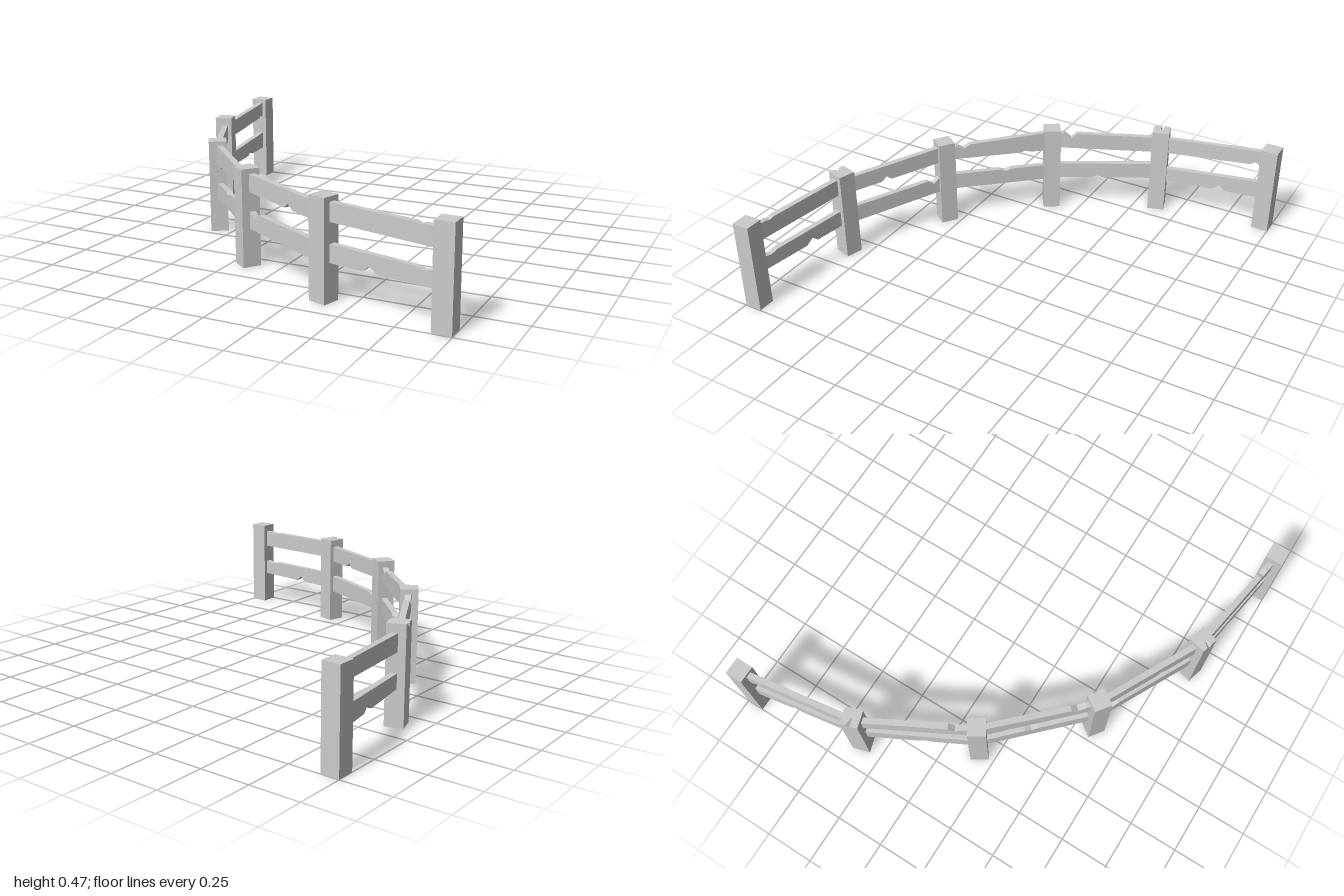
import * as THREE from 'three';

const POST_WIDTH = 0.09, POST_HEIGHT = 0.475, RAIL_THICKNESS = 0.03;
const material = new THREE.MeshStandardMaterial({ color: 0xcccccc, flatShading: true });

// x, z, turn about y in degrees, optional turn of the split in the top
const POSTS = [
  [-0.955, -0.955, 0],
  [-0.863, -0.366, 17, -90],
  [-0.59, 0.16, 33],
  [-0.17, 0.585, -36],
  [0.36, 0.855, -16, 0],
  [0.953, 0.953, 0],
];

// per span: edge heights at both ends, then chips as [position along rail, depth, half length]
const SPANS = [
  { upper: { top: [0.457, 0.432], bottom: [0.376, 0.346], bottomChips: [[0.13, 0.015, 0.04]] },
    lower: { top: [0.272, 0.25], bottom: [0.177, 0.18], bottomChips: [[0.43, 0.028, 0.06]] } },
  { upper: { top: [0.432, 0.452], bottom: [0.346, 0.364], topChips: [[0.83, 0.03, 0.06]] },
    lower: { top: [0.272, 0.26], bottom: [0.183, 0.175], bottomChips: [[0.57, 0.014, 0.06]] } },
  { upper: { top: [0.456, 0.44], bottom: [0.348, 0.368], topChips: [[0.83, 0.02, 0.06]], bottomChips: [[0.26, 0.01, 0.05]] },
    lower: { top: [0.254, 0.275], bottom: [0.168, 0.187], topChips: [[0.45, 0.012, 0.06]] } },
  { upper: { top: [0.452, 0.435], bottom: [0.365, 0.35], bottomChips: [[0.6, 0.022, 0.05]] },
    lower: { top: [0.272, 0.26], bottom: [0.188, 0.17], topChips: [[0.14, 0.025, 0.06]] } },
  { upper: { top: [0.453, 0.436], bottom: [0.365, 0.346], topChips: [[0.8, 0.008, 0.04]] },
    lower: { top: [0.268, 0.25], bottom: [0.182, 0.174], topChips: [[0.84, 0.01, 0.07]], bottomChips: [[0.41, 0.027, 0.06]] } },
];

function addMesh(parent, geometry, name) {
  const mesh = new THREE.Mesh(geometry, material);
  mesh.name = name;
  parent.add(mesh);
  return mesh;
}

// front half of a post with a wedge-shaped split that fades towards the middle
function splitHalfGeometry() {
  const w = POST_WIDTH / 2, h = POST_HEIGHT;
  const shape = new THREE.Shape([
    [-w, 0], [w, 0], [w, h], [0.01, h], [-0.003, h - 0.025], [-0.018, h], [-w, h],
  ].map(([x, y]) => new THREE.Vector2(x, y)));
  const geometry = new THREE.ExtrudeGeometry(shape, { depth: w, bevelEnabled: false });
  const p = geometry.attributes.position;
  for (let i = 0; i < p.count; i++) {
    if (p.getZ(i) < 0.001 && p.getY(i) > 0.1 && Math.abs(p.getX(i)) < 0.03) p.setXYZ(i, 0.005, h, 0);
  }
  geometry.computeVertexNormals();
  return geometry;
}

function makePost([x, z, turn, split]) {
  const post = new THREE.Group();
  post.name = 'post';
  post.position.set(x, 0, z);
  post.rotation.y = THREE.MathUtils.degToRad(turn);
  if (split === undefined) {
    const box = new THREE.BoxGeometry(POST_WIDTH, POST_HEIGHT, POST_WIDTH);
    addMesh(post, box.translate(0, POST_HEIGHT / 2, 0), 'postBody');
  } else {
    const body = new THREE.Group();
    body.name = 'splitPostBody';
    body.rotation.y = THREE.MathUtils.degToRad(split);
    const back = new THREE.BoxGeometry(POST_WIDTH, POST_HEIGHT, POST_WIDTH / 2);
    addMesh(body, back.translate(0, POST_HEIGHT / 2, -POST_WIDTH / 4), 'postBack');
    addMesh(body, splitHalfGeometry(), 'postFront');
    post.add(body);
  }
  return post;
}

// one long edge of a rail, with a three-point bite for each chip
function chippedEdge(length, [start, end], chips, sign) {
  const point = (t, offset) => new THREE.Vector2(t * length, THREE.MathUtils.lerp(start, end, t) + offset);
  const points = [point(0, 0)];
  for (const [t, depth, half] of chips) {
    points.push(point(t - half, 0), point(t - half * 0.1, sign * depth),
      point(t + half * 0.25, sign * depth * 0.7), point(t + half, 0));
  }
  points.push(point(1, 0));
  return points;
}

function railGeometry(length, { top, bottom, topChips = [], bottomChips = [] }) {
  const lowerEdge = chippedEdge(length, bottom, bottomChips, 1);
  const upperEdge = chippedEdge(length, top, topChips, -1).reverse();
  const shape = new THREE.Shape([...lowerEdge, ...upperEdge]);
  const geometry = new THREE.ExtrudeGeometry(shape, { depth: RAIL_THICKNESS, bevelEnabled: false });
  return geometry.translate(0, 0, -RAIL_THICKNESS / 2);
}

export function createModel() {
  const fence = new THREE.Group();
  fence.name = 'curvedFence';
  POSTS.forEach((post) => fence.add(makePost(post)));

  // a pair of rails between each two neighbouring posts
  SPANS.forEach((span, i) => {
    const [x0, z0] = POSTS[i], [x1, z1] = POSTS[i + 1];
    const length = Math.hypot(x1 - x0, z1 - z0);
    const rails = new THREE.Group();
    rails.name = 'railPair';
    rails.position.set(x0, 0, z0);
    rails.rotation.y = Math.atan2(z0 - z1, x1 - x0);
    addMesh(rails, railGeometry(length, span.upper), 'upperRail');
    addMesh(rails, railGeometry(length, span.lower), 'lowerRail');
    fence.add(rails);
  });
  return fence;
}
